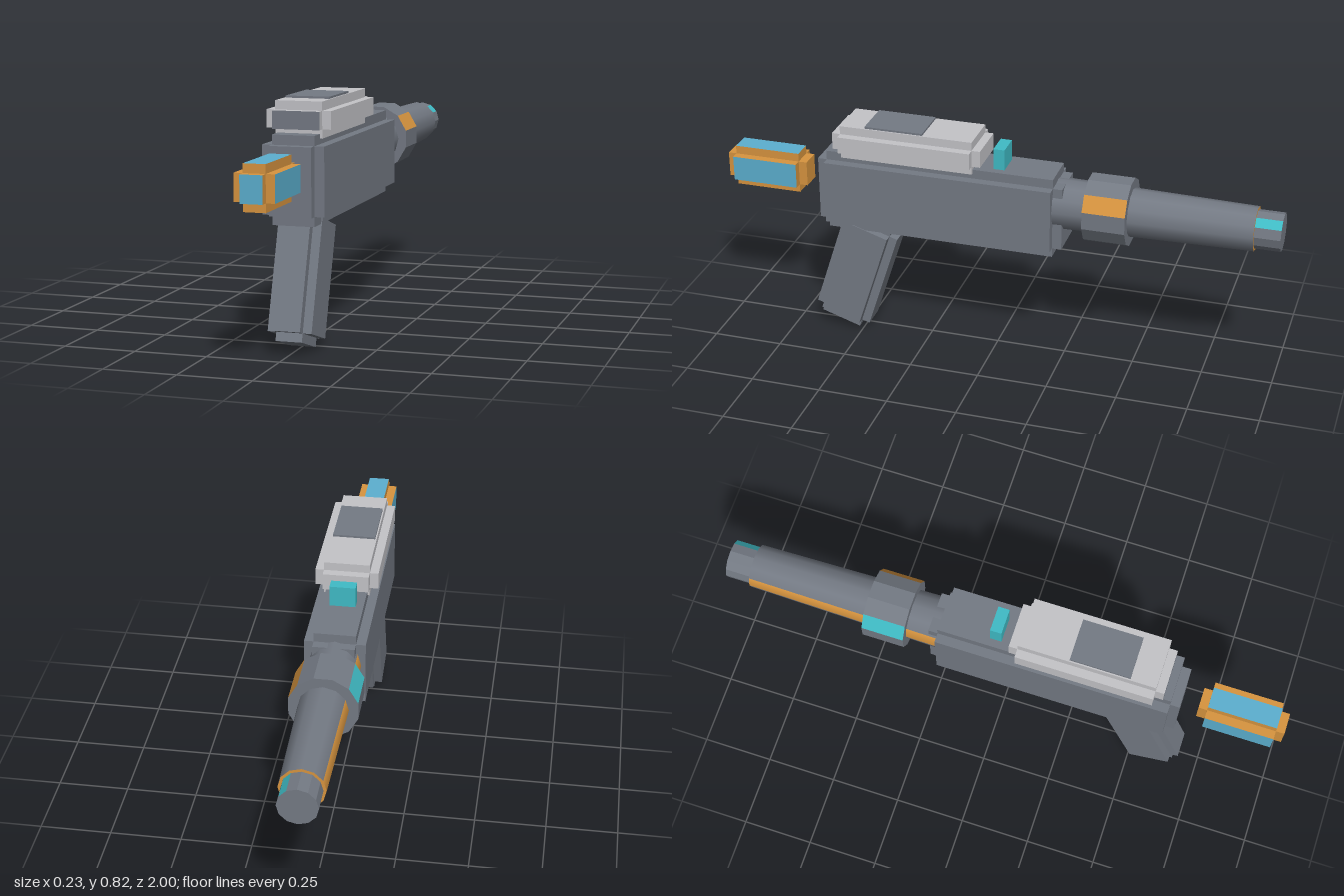
import * as THREE from 'three';

const paint = (name, color) => {
  const m = new THREE.MeshStandardMaterial({ color });
  m.name = name;
  return m;
};

export function createModel() {
  const gray = paint('gunmetal gray', 0x747a84);
  const light = paint('light gray', 0xc4c4c8);
  const orange = paint('orange', 0xd8953f);
  const blue = paint('sky blue', 0x5cb0d0);
  const teal = paint('teal', 0x40bcc6);

  const model = new THREE.Group();
  model.name = 'toyBlaster';

  const addMesh = (parent, name, geometry, material) => {
    const mesh = new THREE.Mesh(geometry, material);
    mesh.name = name;
    parent.add(mesh);
    return mesh;
  };

  // Block with stepped edges: three boxes, each reaching full size on one axis.
  // faces: optional colours of the outer faces (+x, -x, +y, -y, +z, -z)
  const steppedBlock = (name, size, center, material, faces = [], inset = 0.03) => {
    const group = new THREE.Group();
    group.name = name;
    group.position.set(...center);
    ['Sides', 'TopBottom', 'Ends'].forEach((label, axis) => {
      const s = size.map((v, i) => (i === axis ? v : v - 2 * inset));
      const mats = Array.from({ length: 6 }, (_, f) =>
        (Math.floor(f / 2) === axis && faces[f]) || material);
      addMesh(group, name + label, new THREE.BoxGeometry(...s), mats);
    });
    model.add(group);
    return group;
  };

  // Twelve-sided tube along z; facets maps facet number to a colour
  const tube = (name, rFront, rBack, zFront, zBack, phase, flat, facets, backCap = gray) => {
    let g = new THREE.CylinderGeometry(rBack, rFront, zFront - zBack, 12, 1, false, phase);
    g.rotateX(-Math.PI / 2);
    const mats = [gray, orange, teal];
    g.clearGroups();
    for (let i = 0; i < 12; i++) g.addGroup(i * 6, 6, mats.indexOf(facets[i] || gray));
    g.addGroup(72, 36, mats.indexOf(backCap));
    g.addGroup(108, 36, 0);
    if (flat) {
      g = g.toNonIndexed();
      g.computeVertexNormals();
    }
    addMesh(model, name, g, mats).position.set(0, 0.598, (zFront + zBack) / 2);
  };

  // Body and raked grip
  steppedBlock('body', [0.21, 0.295, 0.89], [0, 0.5675, 0.195], gray, [], 0.033);
  const grip = steppedBlock('grip', [0.15, 0.44, 0.21], [0, 0.236, 0.521], gray);
  grip.rotation.x = -0.314;

  // Front block with blue outer faces
  steppedBlock('frontBlock', [0.134, 0.15, 0.3], [0, 0.595, 0.85], orange,
    [blue, blue, blue, blue, blue, orange]);

  // Top housing with inset panel and gray front
  steppedBlock('topHousing', [0.22, 0.12, 0.54], [0, 0.76, 0.31], light,
    [null, null, null, null, gray, null]);
  addMesh(model, 'topPanel', new THREE.BoxGeometry(0.15, 0.008, 0.21), gray)
    .position.set(0, 0.823, 0.355);

  // Small sight block
  addMesh(model, 'sight', new THREE.BoxGeometry(0.09, 0.08, 0.04), teal)
    .position.set(0, 0.75, -0.017);

  // Tapered barrel, collar and tip
  tube('barrel', 0.09, 0.077, -0.21, -0.91, 0, false, { 9: orange, 6: orange }, orange);
  tube('collar', 0.12, 0.12, -0.33, -0.48, Math.PI / 12, true, { 1: orange, 9: teal, 5: orange });
  tube('barrelTip', 0.067, 0.067, -0.9, -1, 0, true, { 1: teal, 5: teal });

  return model;
}
